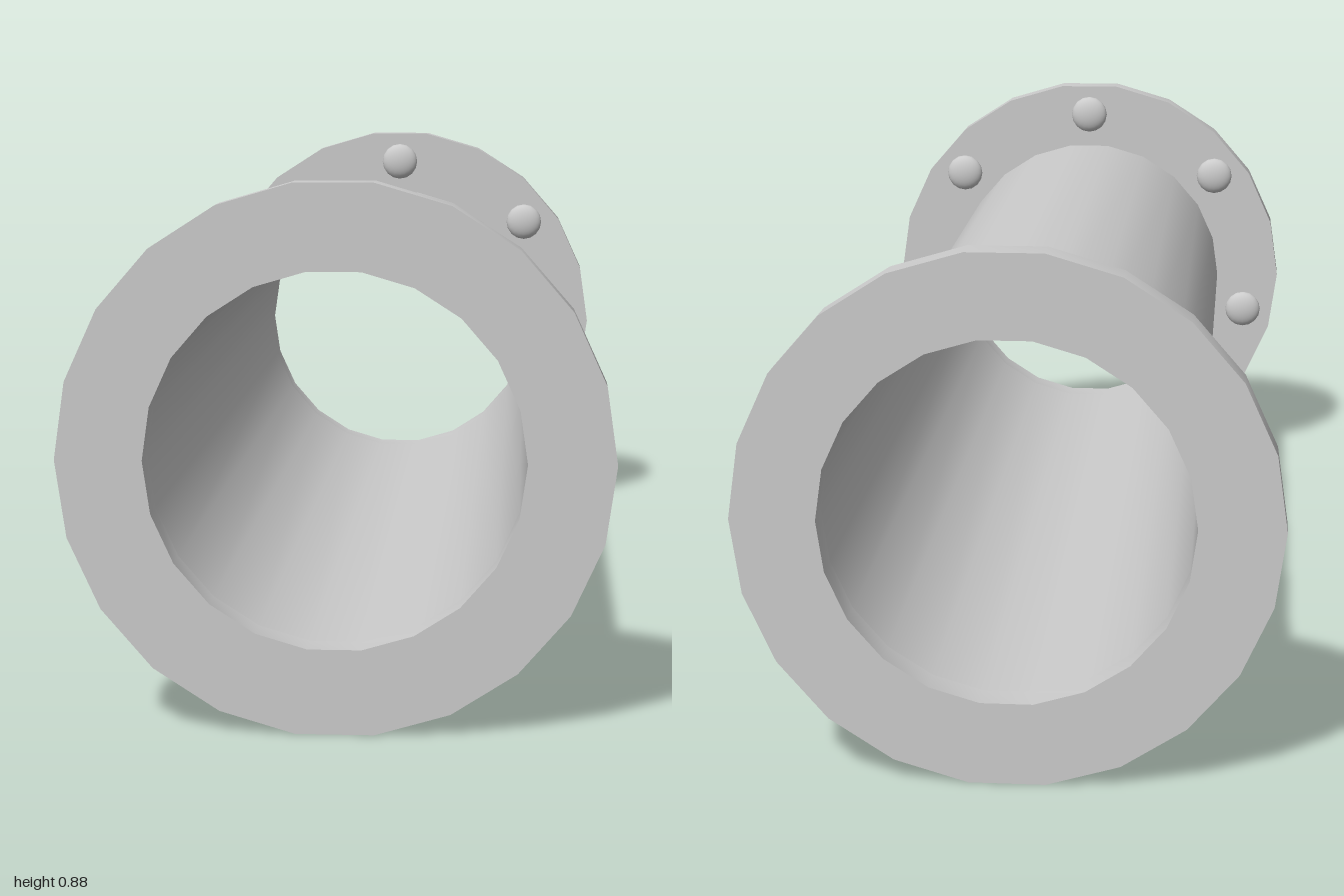
import * as THREE from 'three';
import { toCreasedNormals } from 'three/addons/utils/BufferGeometryUtils.js';

const SIDES = 22, OUTER = 0.447, INNER = 0.306;
const THICK = 0.055, HALF = 1, BOLTS = 7, BOLT_RING = 0.377;
const CENTRE_Y = OUTER * Math.cos(Math.PI / SIDES);

// Corners of a regular polygon with one corner on +x
function polygon(radius) {
  return Array.from({ length: SIDES }, (_, i) => {
    const a = (i / SIDES) * Math.PI * 2;
    return new THREE.Vector2(radius * Math.cos(a), radius * Math.sin(a));
  });
}

export function createModel() {
  const model = new THREE.Group();
  model.name = 'flangedPipe';
  const grey = new THREE.MeshStandardMaterial({ color: 0xcccccc });
  const greyDouble = new THREE.MeshStandardMaterial({ color: 0xcccccc, side: THREE.DoubleSide });

  // Thin open tube between the flanges
  const tubeGeo = new THREE.CylinderGeometry(INNER, INNER, 2 * (HALF - THICK), SIDES, 1, true, Math.PI / 2);
  tubeGeo.rotateX(Math.PI / 2);
  const tube = new THREE.Mesh(tubeGeo, greyDouble);
  tube.name = 'tube';
  tube.position.y = CENTRE_Y;
  model.add(tube);

  // Flange ring, outer face at z = 0 and thickness running to -z
  const ring = new THREE.Shape(polygon(OUTER));
  ring.holes.push(new THREE.Path(polygon(INNER)));
  const flangeGeo = toCreasedNormals(
    new THREE.ExtrudeGeometry(ring, { depth: THICK, bevelEnabled: false }), 0.5);
  flangeGeo.translate(0, 0, -THICK);

  // Flattened dome for a bolt head, bulging towards -z
  const boltGeo = new THREE.SphereGeometry(0.041, 16, 8, 0, Math.PI * 2, 0, Math.PI / 2);
  boltGeo.scale(1, 0.5, 1);
  boltGeo.rotateX(-Math.PI / 2);

  for (const [name, turn] of [['front', 0], ['back', Math.PI]]) {
    const end = new THREE.Group();
    end.name = name + 'End';
    const flange = new THREE.Mesh(flangeGeo, grey);
    flange.name = name + 'Flange';
    end.add(flange);

    // Bolt heads on the inner face, the first one at the top
    for (let i = 0; i < BOLTS; i++) {
      const a = (i / BOLTS) * Math.PI * 2;
      const bolt = new THREE.Mesh(boltGeo, grey);
      bolt.name = name + 'Bolt' + (i + 1);
      bolt.position.set(BOLT_RING * Math.sin(a), BOLT_RING * Math.cos(a), -THICK);
      end.add(bolt);
    }
    end.rotation.y = turn;
    end.position.set(0, CENTRE_Y, turn ? -HALF : HALF);
    model.add(end);
  }
  return model;
}
